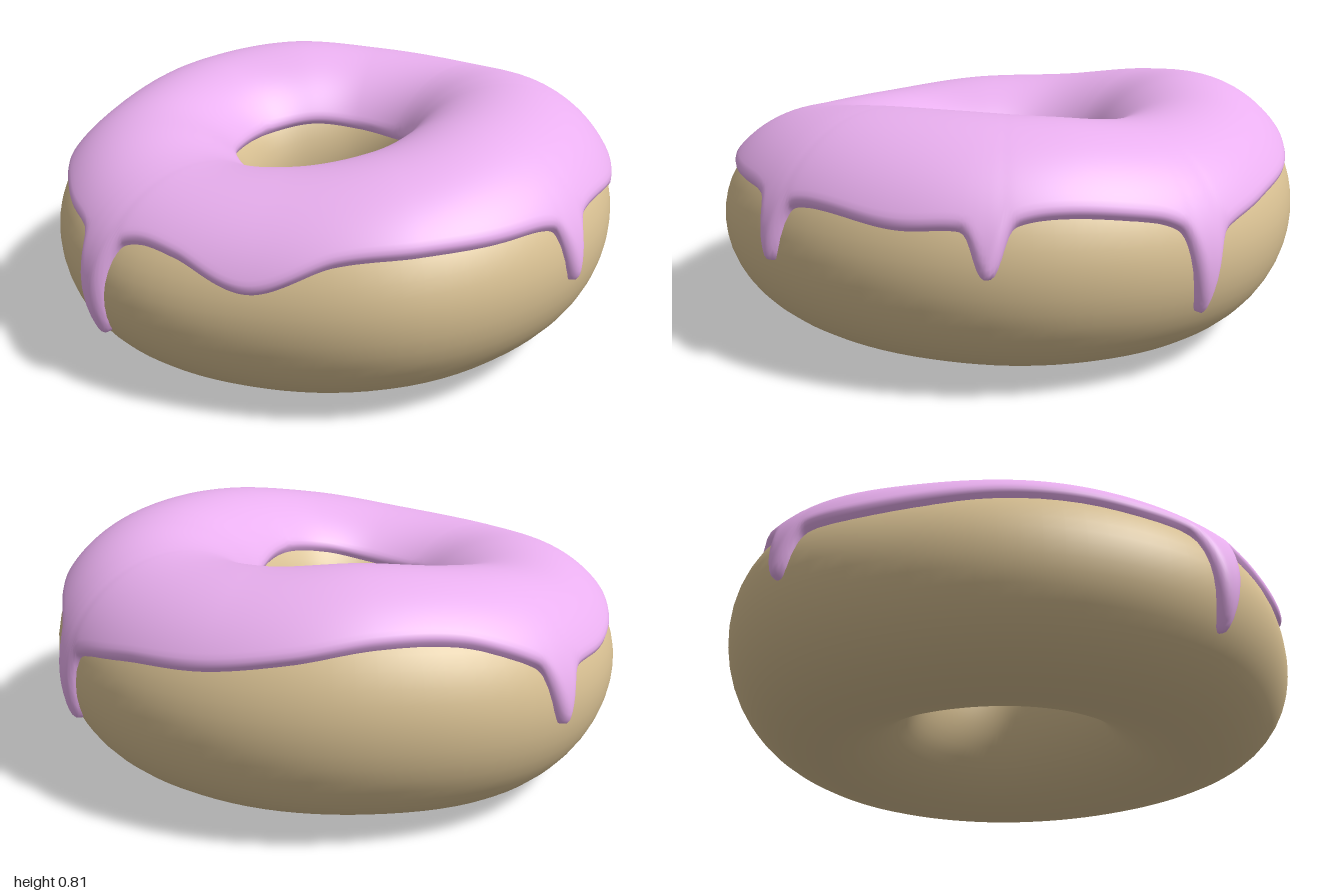
import * as THREE from 'three';

const TAU = Math.PI * 2, RAD = Math.PI / 180;

// Smooth closed interpolation through values evenly spaced around the ring
function around(values) {
  const n = values.length;
  return (theta) => {
    const t = (((theta / TAU) % 1) + 1) % 1 * n;
    const i = Math.floor(t), f = t - i;
    const [a, b, c, d] = [-1, 0, 1, 2].map((k) => values[(i + k + n) % n]);
    return b + 0.5 * f * (c - a + f * (2 * a - 5 * b + 4 * c - d + f * (3 * (b - c) + d - a)));
  };
}

// Ring measurements, every 30 degrees from +x towards +z
const outerRadius = around([0.97, 0.965, 0.985, 0.997, 0.96, 0.99, 0.975, 0.985, 1.02, 1.0, 0.985, 0.985]);
const innerRadius = around([0.25, 0.22, 0.225, 0.25, 0.275, 0.29, 0.295, 0.31, 0.32, 0.305, 0.295, 0.275]);
const crest = around([0.795, 0.805, 0.79, 0.74, 0.69, 0.67, 0.695, 0.71, 0.765, 0.8, 0.775, 0.765]);
const base = around([0.03, 0.03, 0.03, 0.02, 0, 0.01, 0.02, 0.02, 0.02, 0.03, 0.03, 0.03]);
// Height of the icing's outer edge, every 15 degrees, and angle of its inner edge
const edgeHeight = around([0.58, 0.57, 0.54, 0.56, 0.565, 0.56, 0.555, 0.53, 0.44, 0.5, 0.52, 0.5,
  0.52, 0.52, 0.5, 0.5, 0.55, 0.63, 0.64, 0.6, 0.56, 0.54, 0.51, 0.55]);
const innerEdge = around([155, 150, 146, 143, 142, 142, 143, 148, 154, 156, 156, 156]);
// Drips: angle, length, half width in degrees
const drips = [[58, 0.19, 2.9], [15, 0.15, 2.9], [-24, 0.27, 3], [236, 0.18, 3.1], [153, 0.34, 3.4]];
const THICKNESS = 0.03;

// Egg-shaped tube section at one angle of the ring
function section(theta) {
  const ro = outerRadius(theta), ri = innerRadius(theta);
  const top = crest(theta) - THICKNESS, bottom = base(theta);
  const yc = (top + bottom) / 2 + 0.01;
  return { rc: (ro + ri) / 2, a: (ro - ri) / 2, yc, up: top - yc, down: yc - bottom };
}

// Point on the dough surface, pushed out along its normal by offset
function surfacePoint(theta, phi, offset) {
  const s = section(theta), c = Math.cos(phi), n = Math.sin(phi);
  const h = n > 0 ? s.up : s.down;
  const nr = c / s.a, ny = n / h, len = Math.hypot(nr, ny);
  const r = s.rc + s.a * c + offset * nr / len;
  return [r * Math.cos(theta), s.yc + h * n + offset * ny / len, r * Math.sin(theta)];
}

// Tube angle of the icing's outer edge, drips included
function outerEdge(theta) {
  let y = edgeHeight(theta);
  for (const [angle, length, width] of drips) {
    const d = Math.abs((theta / RAD - angle + 540) % 360 - 180);
    y -= length * (0.84 * Math.exp(-((d / width) ** 3)) + 0.16 * Math.exp(-((d / (width * 1.9)) ** 2)));
  }
  const s = section(theta), k = y - s.yc;
  return Math.asin(THREE.MathUtils.clamp(k / (k > 0 ? s.up : s.down), -1, 1));
}

// Grid surface closed around the ring
function ringSurface(columns, rows, closed, point) {
  const positions = [], index = [];
  for (let i = 0; i < columns; i++)
    for (let j = 0; j < rows; j++) positions.push(...point(i, j));
  for (let i = 0; i < columns; i++) {
    const i2 = (i + 1) % columns;
    for (let j = 0; j < (closed ? rows : rows - 1); j++) {
      const j2 = (j + 1) % rows;
      const a = i * rows + j, b = i * rows + j2, c = i2 * rows + j, d = i2 * rows + j2;
      index.push(a, b, c, b, d, c);
    }
  }
  const geometry = new THREE.BufferGeometry();
  geometry.setAttribute('position', new THREE.Float32BufferAttribute(positions, 3));
  geometry.setIndex(index);
  geometry.computeVertexNormals();
  return geometry;
}

function doughGeometry() {
  const columns = 96, rows = 48;
  return ringSurface(columns, rows, true, (i, j) => surfacePoint(i / columns * TAU, j / rows * TAU, 0));
}

function icingGeometry() {
  const columns = 600, rows = 36, step = TAU / columns;
  const tube = 0.36, ring = 0.95, rim = 0.036, reach = 6;
  const edges = Array.from({ length: columns }, (_, i) => outerEdge(i * step));

  // Distance from a surface point to the nearest piece of the dripping edge
  const edgeDistance = (i, phi) => {
    let best = Infinity;
    for (let k = -reach; k < reach; k++) {
      const x0 = k * step * ring, dx = step * ring;
      const y0 = (edges[(i + k + columns) % columns] - phi) * tube;
      const dy = (edges[(i + k + 1 + columns) % columns] - phi) * tube - y0;
      const t = THREE.MathUtils.clamp(-(x0 * dx + y0 * dy) / (dx * dx + dy * dy), 0, 1);
      best = Math.min(best, Math.hypot(x0 + t * dx, y0 + t * dy));
    }
    return best;
  };

  return ringSurface(columns, rows, false, (i, j) => {
    const theta = i * step, start = edges[i], end = innerEdge(theta) * RAD;
    // Rows crowd towards both edges, where the rim rounds over
    const u = j / (rows - 1), v = 0.3 * u + 0.7 * u * u * (3 - 2 * u);
    const phi = start + (end - start) * v;
    const d = Math.min(edgeDistance(i, phi), (end - phi) * tube);
    const k = 1 - THREE.MathUtils.clamp(d / rim, 0, 1);
    return surfacePoint(theta, phi, -0.006 + (THICKNESS + 0.006) * Math.sqrt(1 - k * k));
  });
}

export function createModel() {
  const group = new THREE.Group();
  group.name = 'doughnut';
  const add = (name, geometry, color) => {
    const mesh = new THREE.Mesh(geometry, new THREE.MeshStandardMaterial({ color }));
    mesh.name = name;
    group.add(mesh);
  };
  add('dough', doughGeometry(), 0xd9c193);
  add('icing', icingGeometry(), 0xeab0f0);
  return group;
}
